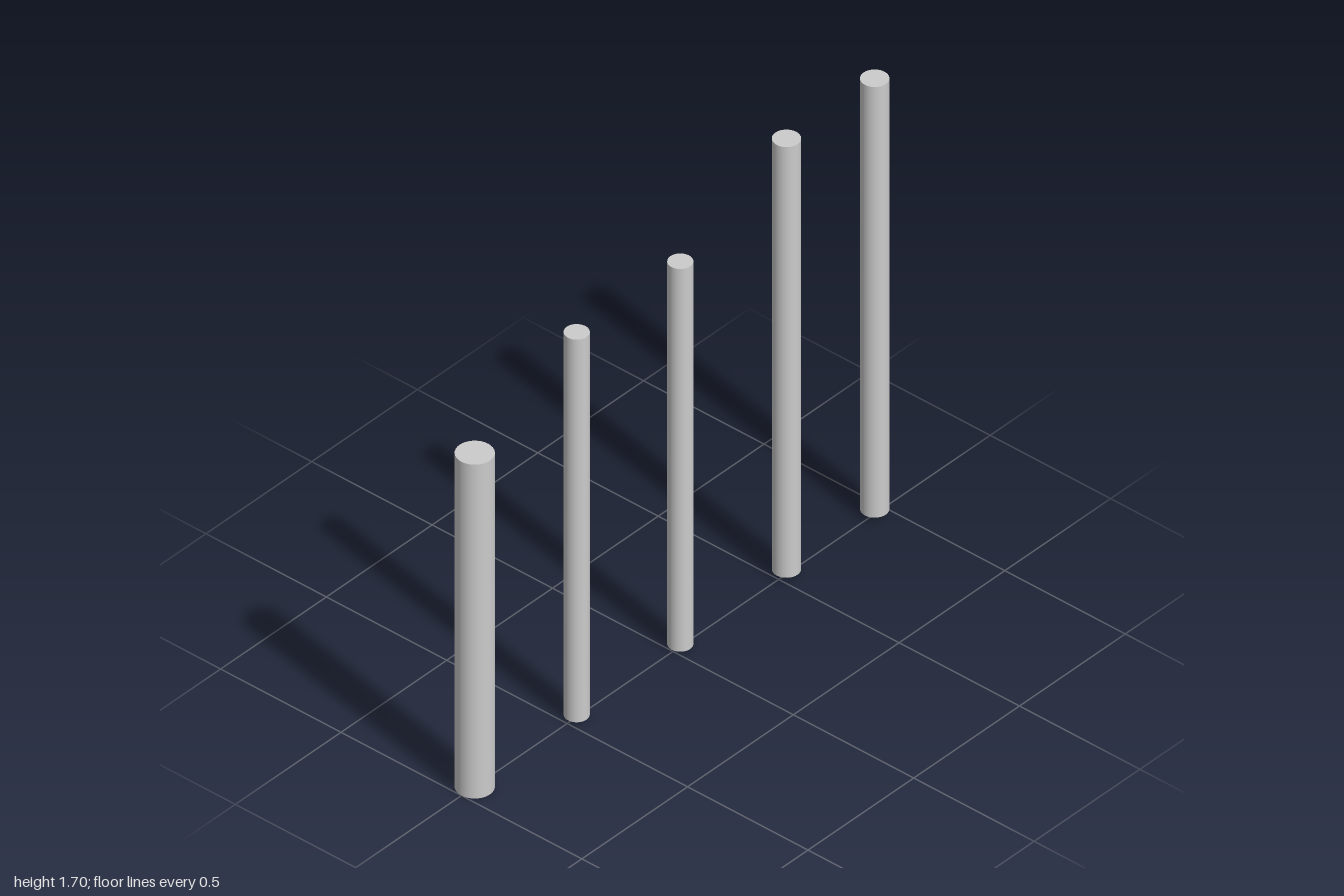
import * as THREE from 'three';

export function createModel() {
  const group = new THREE.Group();
  const material = new THREE.MeshStandardMaterial({ color: 0xcccccc });

  // One upright round post with flat caps
  function addPost(name, z, radius, bottom, top) {
    const height = top - bottom;
    const post = new THREE.Mesh(new THREE.CylinderGeometry(radius, radius, height, 32), material);
    post.name = name;
    post.position.set(0, bottom + height / 2, z);
    group.add(post);
  }

  // Row of posts from front to back: thick and short, then thin, then tall
  addPost('frontPost', 0.937, 0.063, 0, 1.3);
  addPost('frontMiddlePost', 0.455, 0.041, 0.01, 1.5);
  addPost('middlePost', -0.035, 0.041, 0.01, 1.5);
  addPost('backMiddlePost', -0.537, 0.046, 0.02, 1.697);
  addPost('backPost', -0.954, 0.046, 0.02, 1.697);

  return group;
}
